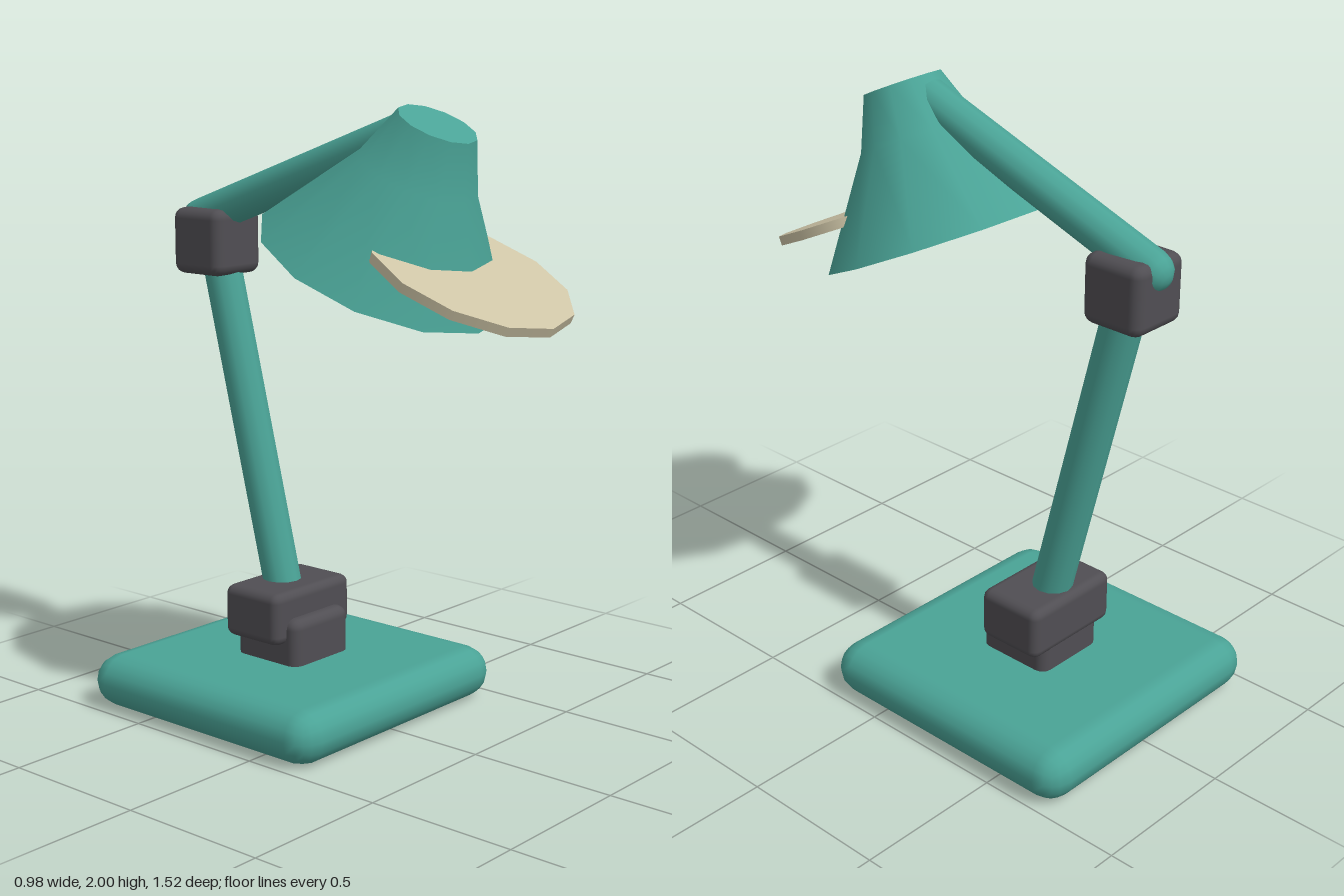
import * as THREE from 'three';
import { RoundedBoxGeometry } from 'three/addons/geometries/RoundedBoxGeometry.js';

export function createModel() {
  const model = new THREE.Group();
  model.name = 'deskLamp';

  const material = (name, color) => {
    const m = new THREE.MeshStandardMaterial({ color });
    m.name = name;
    return m;
  };
  const teal = material('teal', 0x4aa396);
  const charcoal = material('charcoal', 0x504e53);
  const cream = material('cream', 0xcdc4a6);

  const add = (name, geometry, mat, parent = model) => {
    const mesh = new THREE.Mesh(geometry, mat);
    mesh.name = name;
    parent.add(mesh);
    return mesh;
  };
  // Rounded block centred on x, given its y and z ranges
  const block = (name, width, [y0, y1], [z0, z1], radius, mat) => {
    const geometry = new RoundedBoxGeometry(width, y1 - y0, z1 - z0, 2, radius);
    add(name, geometry, mat).position.set(0, (y0 + y1) / 2, (z0 + z1) / 2);
  };
  // Round-ended rod between two points in the x = 0 plane
  const rod = (name, [y0, z0], [y1, z1], radius) => {
    const a = new THREE.Vector3(0, y0, z0);
    const b = new THREE.Vector3(0, y1, z1);
    const mesh = add(name, new THREE.CapsuleGeometry(radius, a.distanceTo(b), 4, 12), teal);
    mesh.position.copy(a).add(b).multiplyScalar(0.5);
    mesh.rotation.x = Math.atan2(z1 - z0, y1 - y0);
  };

  // Base and joints
  block('base', 0.98, [0, 0.175], [-0.76, 0.22], 0.087, teal);
  block('lowerBaseJoint', 0.27, [0.13, 0.33], [-0.405, -0.135], 0.035, charcoal);
  block('upperBaseJoint', 0.37, [0.245, 0.42], [-0.412, -0.175], 0.03, charcoal);
  block('elbowJoint', 0.215, [1.425, 1.645], [-0.71, -0.495], 0.035, charcoal);

  // Arms
  rod('lowerArm', [0.34, -0.3], [1.53, -0.598], 0.065);
  rod('upperArm', [1.605, -0.67], [1.925, 0.22], 0.065);

  // Tilted shade, closed at both ends
  const tilt = 0.443;
  const shade = new THREE.Group();
  shade.name = 'shade';
  shade.position.set(0, 1.508, 0.12);
  shade.rotation.x = tilt;
  model.add(shade);
  const profile = [[0.41, 0], [0.193, 0.322], [0.128, 0.487]].map(([r, y]) => new THREE.Vector2(r, y));
  add('shadeWall', new THREE.LatheGeometry(profile, 12), teal, shade);
  add('shadeTop', new THREE.CircleGeometry(0.128, 12).rotateX(-Math.PI / 2), teal, shade).position.y = 0.487;
  add('shadeUnderside', new THREE.CircleGeometry(0.41, 12).rotateX(Math.PI / 2), teal, shade);

  // Disc passing through the front of the shade
  const disc = add('lightDisc', new THREE.CylinderGeometry(0.33, 0.33, 0.03, 12), cream);
  disc.position.set(0, 1.502, 0.457);
  disc.rotation.x = tilt;

  return model;
}
